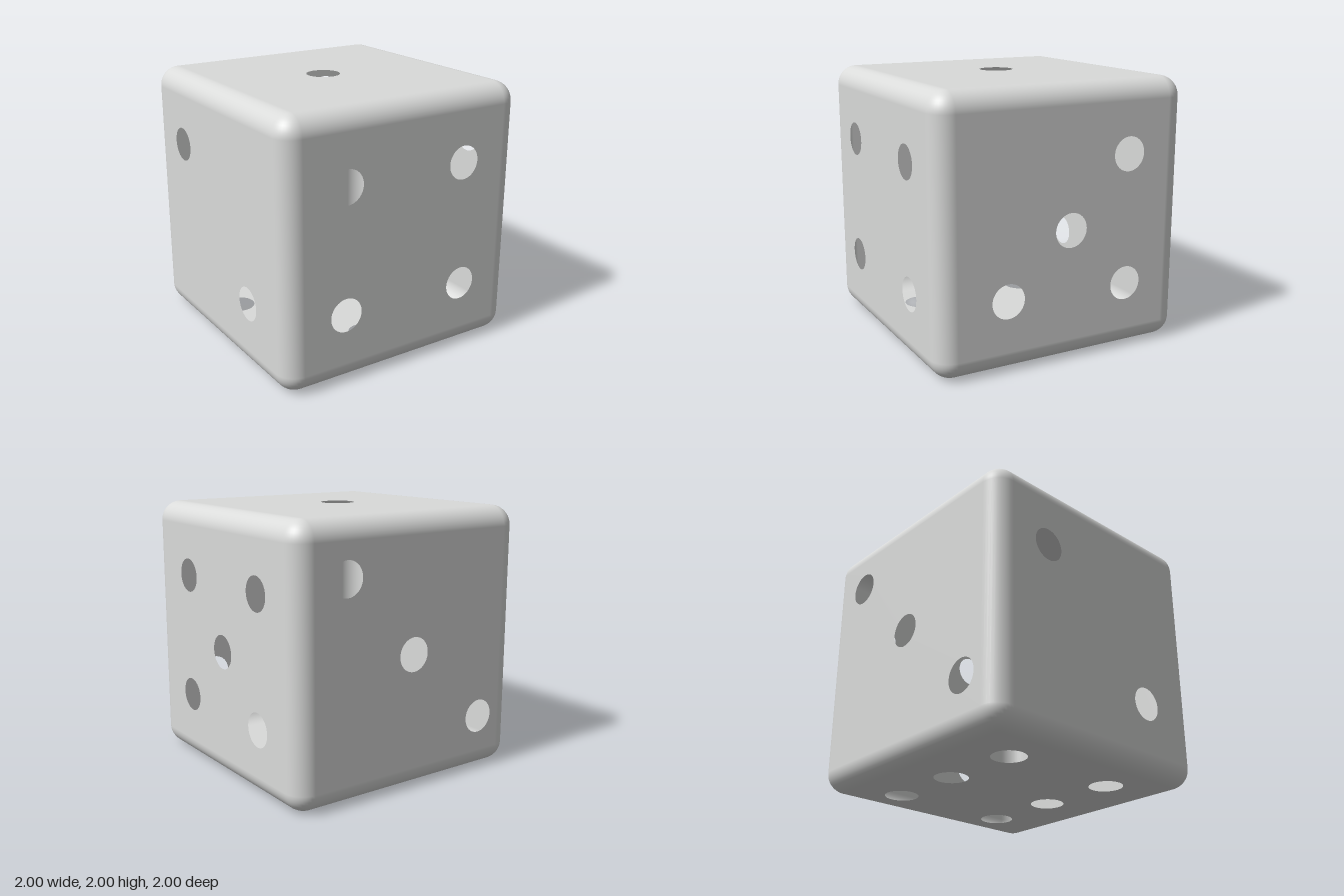
import * as THREE from 'three';

const R = 0.15;        // edge rounding
const H = 1 - R;       // half width of the flat part of a face
const PIP = 0.127;     // pip hole radius
const Q = Math.PI / 2;

export function createModel() {
  const model = new THREE.Group();
  model.name = 'die';
  // Thin hollow shell, seen from inside through the pips
  const shell = new THREE.MeshStandardMaterial({ color: 0xdadbda, side: THREE.DoubleSide });
  shell.name = 'pale grey';

  const body = new THREE.Group();
  body.name = 'hollowShell';
  body.position.y = 1;
  model.add(body);

  const add = (name, geometry) => {
    const mesh = new THREE.Mesh(geometry, shell);
    mesh.name = name;
    body.add(mesh);
  };

  // Flat face with round holes for pips, in face coordinates
  const face = (name, rx, ry, pips) => {
    const shape = new THREE.Shape([
      new THREE.Vector2(-H, -H), new THREE.Vector2(H, -H),
      new THREE.Vector2(H, H), new THREE.Vector2(-H, H),
    ]);
    for (const [u, v] of pips) {
      shape.holes.push(new THREE.Path().absarc(u, v, PIP, 0, Math.PI * 2, true));
    }
    add(name, new THREE.ShapeGeometry(shape, 32).translate(0, 0, 1).rotateX(rx).rotateY(ry));
  };

  face('frontFaceFour', 0, 0, [[-0.505, 0.468], [0.495, 0.468], [-0.51, -0.47], [0.512, -0.484]]);
  face('backFaceThree', 0, Math.PI, [[-0.588, 0.596], [0, 0], [0.652, -0.578]]);
  face('fiveFace', 0, Q, [[-0.46, 0.468], [0.513, 0.47], [0.035, -0.032], [-0.465, -0.473], [0.508, -0.497]]);
  face('twoFace', 0, -Q, [[-0.513, 0.47], [0.465, -0.473]]);
  face('topFaceOne', -Q, 0, [[-0.06, 0]]);
  const six = [];
  for (const x of [0.62, 0.03, -0.58]) for (const z of [-0.51, 0.455]) six.push([x, z]);
  face('bottomFaceSix', Q, 0, six);

  // Rounded edges: four quarter cylinders along each axis
  for (let k = 0; k < 4; k++) {
    const edge = () => new THREE.CylinderGeometry(R, R, 2 * H, 10, 1, true, 0, Q)
      .translate(H, 0, H).rotateY(k * Q);
    add('uprightEdge', edge());
    add('crossEdge', edge().rotateZ(Q));
    add('depthEdge', edge().rotateX(Q));
  }

  // Rounded corners: one sphere octant each
  for (let k = 0; k < 4; k++) {
    for (const flip of [0, Math.PI]) {
      add(flip ? 'lowerCorner' : 'upperCorner',
        new THREE.SphereGeometry(R, 10, 10, 0, Q, 0, Q)
          .translate(-H, H, H).rotateX(flip).rotateY(k * Q));
    }
  }
  return model;
}
